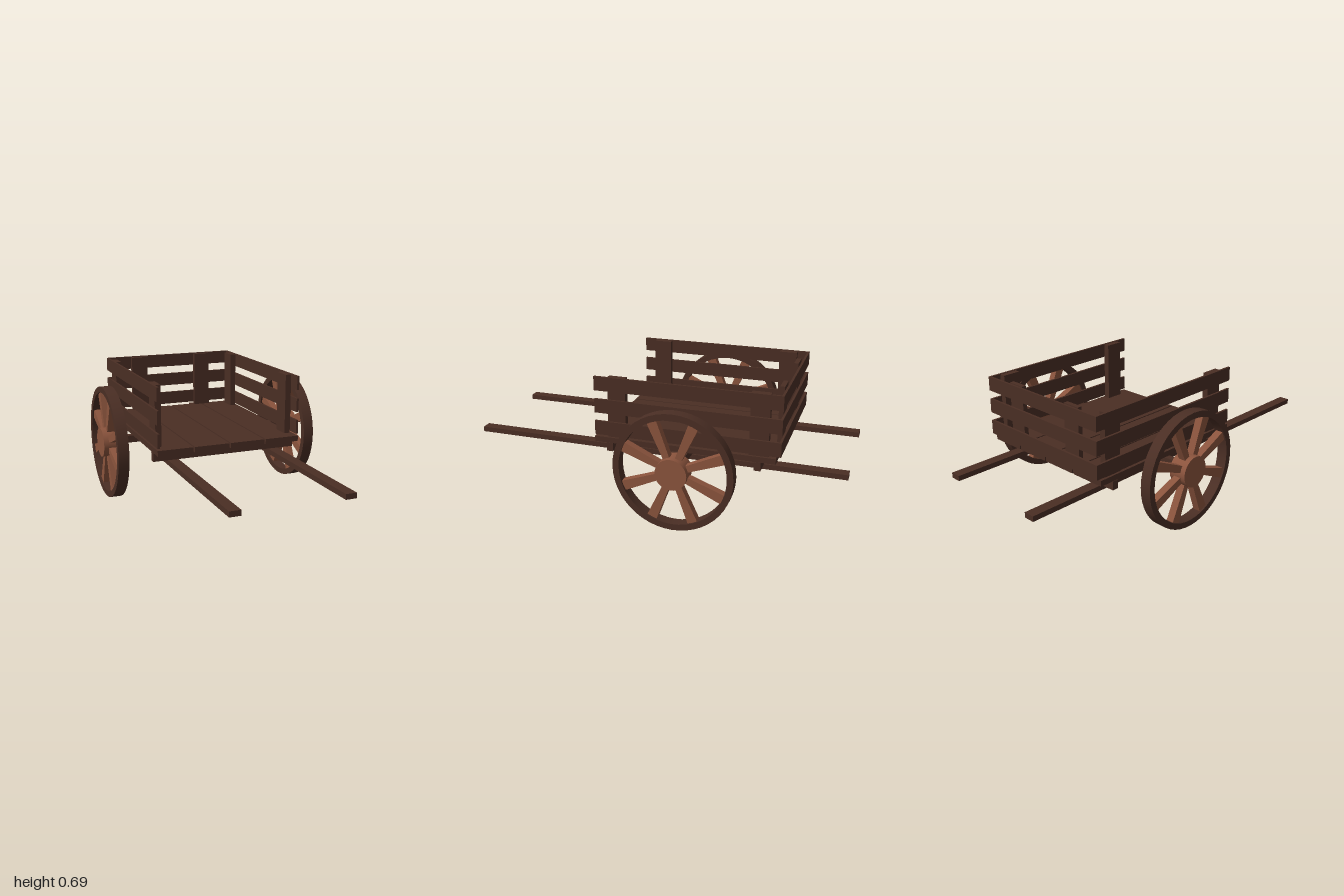
import * as THREE from 'three';
import { toCreasedNormals } from 'three/addons/utils/BufferGeometryUtils.js';

const darkWood = new THREE.MeshStandardMaterial({ color: 0x4a2e24 });
darkWood.name = 'darkWood';
const redWood = new THREE.MeshStandardMaterial({ color: 0x8b543d });
redWood.name = 'redWood';

// Box given by its extents along each axis
function block(parent, name, [x0, x1], [y0, y1], [z0, z1], material = darkWood) {
  const mesh = new THREE.Mesh(new THREE.BoxGeometry(x1 - x0, y1 - y0, z1 - z0), material);
  mesh.position.set((x0 + x1) / 2, (y0 + y1) / 2, (z0 + z1) / 2);
  mesh.name = name;
  parent.add(mesh);
  return mesh;
}

// Spoke running along +y, wider towards the rim
function spokeGeometry(inner, outer, innerWidth, outerWidth, depth) {
  const geometry = new THREE.BoxGeometry(1, outer - inner, depth);
  geometry.translate(0, (inner + outer) / 2, 0);
  const p = geometry.attributes.position;
  for (let i = 0; i < p.count; i++) {
    p.setX(i, p.getX(i) * (p.getY(i) < (inner + outer) / 2 ? innerWidth : outerWidth));
  }
  geometry.computeVertexNormals();
  return geometry;
}

// Wheel built around the z axis, then turned onto the axle
function createWheel(name) {
  const wheel = new THREE.Group();
  wheel.name = name;

  const outer = 0.304, inner = 0.272, half = 0.029;
  const profile = [[outer, -half], [outer, half], [inner, half], [inner, -half], [outer, -half]]
    .map(([r, y]) => new THREE.Vector2(r, y));
  const rim = new THREE.Mesh(toCreasedNormals(new THREE.LatheGeometry(profile, 48), 0.6), darkWood);
  rim.rotation.x = Math.PI / 2;
  rim.name = 'rim';
  wheel.add(rim);

  const hub = new THREE.Mesh(new THREE.CylinderGeometry(0.08, 0.08, 0.094, 32), redWood);
  hub.rotation.x = Math.PI / 2;
  hub.name = 'hub';
  wheel.add(hub);

  const geometry = spokeGeometry(0.06, 0.28, 0.032, 0.052, 0.04);
  for (let i = 0; i < 8; i++) {
    const spoke = new THREE.Mesh(geometry, redWood);
    spoke.rotation.z = (i + 0.5) * Math.PI / 4;
    spoke.name = 'spoke';
    wheel.add(spoke);
  }
  wheel.rotation.y = Math.PI / 2;
  return wheel;
}

export function createModel() {
  const cart = new THREE.Group();
  cart.name = 'handCart';
  const left = 0.374, right = -0.412; // bed edges
  const bedFront = 0.282, bedBack = -0.66;

  // Floor planks
  const pitch = (left - right + 0.008) / 4;
  for (let i = 0; i < 4; i++) {
    const x = right + i * pitch;
    block(cart, 'floorPlank', [x, x + pitch - 0.008], [0.335, 0.364], [bedBack, bedFront]);
  }

  // Cross beams and axle
  for (const z of [0.2, -0.571]) {
    block(cart, 'crossBeam', [right - 0.003, left + 0.002], [0.29, 0.335], [z - 0.017, z + 0.017]);
  }
  block(cart, 'axle', [-0.5, 0.5], [0.29, 0.329], [-0.214, -0.18]);

  // Long shafts
  for (const x of [-0.308, 0.258]) {
    block(cart, 'shaft', [x - 0.028, x + 0.028], [0.263, 0.29], [-1, 1]);
  }

  // Slats on both sides and the back
  for (const y of [0.375, 0.493, 0.612]) {
    const height = [y, y + 0.074];
    block(cart, 'leftSlat', [left - 0.012, left], height, [-0.672, 0.28]);
    block(cart, 'rightSlat', [right, right + 0.012], height, [-0.672, 0.28]);
    block(cart, 'backSlat', [right, left], height, [-0.684, -0.672]);
  }

  // Posts inside the slats
  const postHeight = [0.364, 0.684];
  for (const z of [0.163, -0.572]) {
    const depth = [z - 0.048, z + 0.048];
    block(cart, 'leftPost', [left - 0.044, left - 0.012], postHeight, depth);
    block(cart, 'rightPost', [right + 0.012, right + 0.044], postHeight, depth);
  }
  for (const x of [-0.221, 0.181]) {
    block(cart, 'backPost', [x - 0.048, x + 0.048], postHeight, [-0.661, -0.637]);
  }

  // Wheels
  for (const [name, x] of [['leftWheel', 0.537], ['rightWheel', -0.538]]) {
    const wheel = createWheel(name);
    wheel.position.set(x, 0.304, -0.196);
    cart.add(wheel);
  }
  return cart;
}
